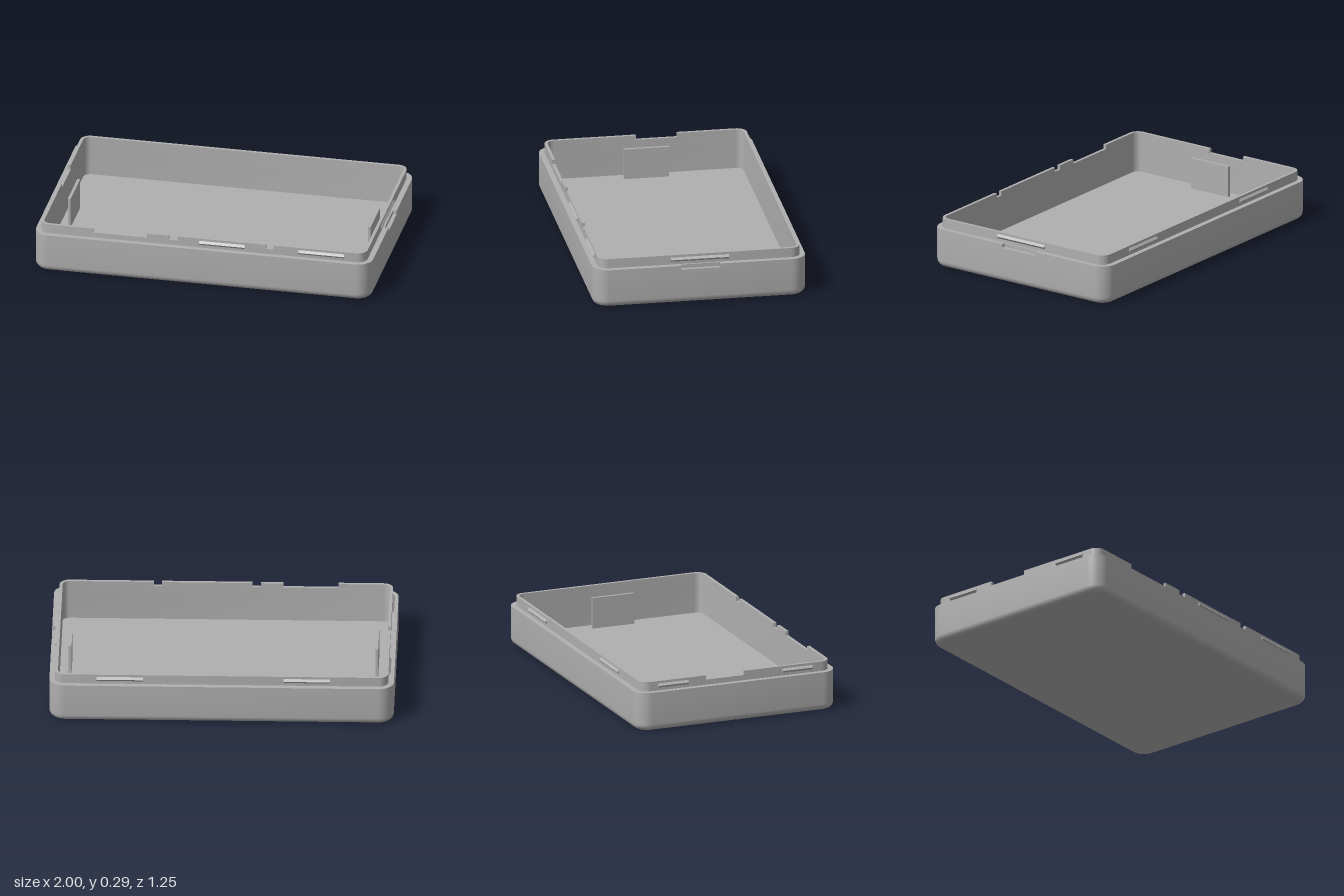
import * as THREE from 'three';
import { toCreasedNormals } from 'three/addons/utils/BufferGeometryUtils.js';

const W = 1, D = 0.627, R = 0.09;            // half width, half depth, corner radius
const FLOOR = 0.05, SLOT = 0.21, LEDGE = 0.233, NOTCH = 0.264, TOP = 0.29;
const LIP_OUT = 0.032, LIP_IN = 0.05;        // insets of the lip faces

// Plan coordinates are (x, -z); corners run anticlockwise seen from above
const SIGNS = [[1, 1], [-1, 1], [-1, -1], [1, -1]];
function corner(k, inset, n = 10) {
  const [sx, sy] = SIGNS[k], r = R - inset, pts = [];
  for (let i = 0; i <= n; i++) {
    const a = (k + i / n) * Math.PI / 2;
    pts.push(new THREE.Vector2(sx * (W - R) + r * Math.cos(a), sy * (D - R) + r * Math.sin(a)));
  }
  return pts;
}
const ring = (inset) => [0, 1, 2, 3].flatMap((k) => corner(k, inset));

// Stack of rounded rectangles [inset, y], closed at both ends
function loft(profile) {
  const pos = [], idx = [], n = ring(0).length;
  for (const [inset, y] of profile) for (const p of ring(inset)) pos.push(p.x, y, -p.y);
  for (let j = 0; j < profile.length - 1; j++) {
    for (let i = 0; i < n; i++) {
      const a = j * n + i, b = j * n + (i + 1) % n;
      idx.push(a, b, b + n, a, b + n, a + n);
    }
  }
  const last = (profile.length - 1) * n, c = pos.length / 3;
  pos.push(0, profile[0][1], 0, 0, profile[profile.length - 1][1], 0);
  for (let i = 0; i < n; i++) {
    const k = (i + 1) % n;
    idx.push(c, k, i, c + 1, last + i, last + k);
  }
  const g = new THREE.BufferGeometry();
  g.setAttribute('position', new THREE.Float32BufferAttribute(pos, 3));
  g.setIndex(idx);
  return toCreasedNormals(g, 0.5);
}

// Plan outline raised from y0 to y1
function slab(points, y0, y1, hole) {
  const s = new THREE.Shape(points);
  if (hole) s.holes.push(new THREE.Path(hole));
  const g = new THREE.ExtrudeGeometry(s, { depth: y1 - y0, bevelEnabled: false });
  g.rotateX(-Math.PI / 2).translate(0, y0, 0);
  return toCreasedNormals(g, 0.5);
}

export function createModel() {
  const model = new THREE.Group();
  model.name = 'enclosureTray';
  const grey = new THREE.MeshStandardMaterial({ color: 0xb0b0b0 });
  grey.name = 'grey plastic';
  const add = (name, geometry) => {
    const m = new THREE.Mesh(geometry, grey);
    m.name = name;
    model.add(m);
    return m;
  };

  // Hollow body with a rounded bottom edge
  const profile = [], fillet = 0.04;
  for (let i = 0; i <= 6; i++) {
    const a = i / 6 * Math.PI / 2;
    profile.push([fillet * (1 - Math.sin(a)), fillet * (1 - Math.cos(a))]);
  }
  profile.push([0, SLOT], [LIP_IN, SLOT], [LIP_IN, FLOOR]);
  add('body', loft(profile));

  // Upper wall band with a pry slot in the +x side
  const slot = [[1, -0.115], [0.978, -0.115], [0.978, 0.115], [1, 0.115]];
  const band = [...ring(0), ...slot.map(([x, y]) => new THREE.Vector2(x, y))];
  add('wallBand', slab(band, SLOT, LEDGE, ring(LIP_IN)));

  // Lip: full ring below, separate runs between the notches above
  add('lipBase', slab(ring(LIP_OUT), LEDGE, NOTCH, ring(LIP_IN)));
  const front = (x) => (i) => new THREE.Vector2(x, -(D - i));
  const left = (z) => (i) => new THREE.Vector2(-(W - i), -z);
  const runs = [
    [front(0.42), [3, 0, 1], left(-0.19)],
    [left(0.05), [2], front(-0.65)],
    [front(-0.33), [], front(-0.2)],
    [front(-0.15), [], front(0.375)],
  ];
  for (const [start, corners, end] of runs) {
    const path = (i) => [start(i), ...corners.flatMap((k) => corner(k, i)), end(i)];
    add('lipRun', slab([...path(LIP_OUT), ...path(LIP_IN).reverse()], NOTCH, TOP));
  }

  // Snap ridges: side angle, centre x, centre z, length
  const lx = W - LIP_OUT, lz = D - LIP_OUT, q = Math.PI / 2;
  const ridges = [
    [-q, 0.115, lz, 0.27], [-q, 0.705, lz, 0.27],
    [q, -0.495, -lz, 0.27], [q, 0.59, -lz, 0.27],
    [0, lx, 0, 0.34],
    [2 * q, -lx, -0.395, 0.19], [2 * q, -lx, 0.385, 0.19],
  ];
  const wedge = new THREE.Shape([[-0.005, 0.25], [0, 0.25], [0.012, 0.263], [0, 0.276], [-0.005, 0.276]]
    .map(([x, y]) => new THREE.Vector2(x, y)));
  for (const [angle, x, z, length] of ridges) {
    const g = new THREE.ExtrudeGeometry(wedge, { depth: length, bevelEnabled: false });
    const m = add('snapRidge', g.translate(0, 0, -length / 2));
    m.rotation.y = angle;
    m.position.set(x, 0, z);
  }

  // Upright plates inside, near each end
  for (const s of [-1, 1]) {
    add('innerPlate', new THREE.BoxGeometry(0.017, 0.19, 0.265)).position.set(s * 0.89, FLOOR + 0.09, 0);
  }
  return model;
}
